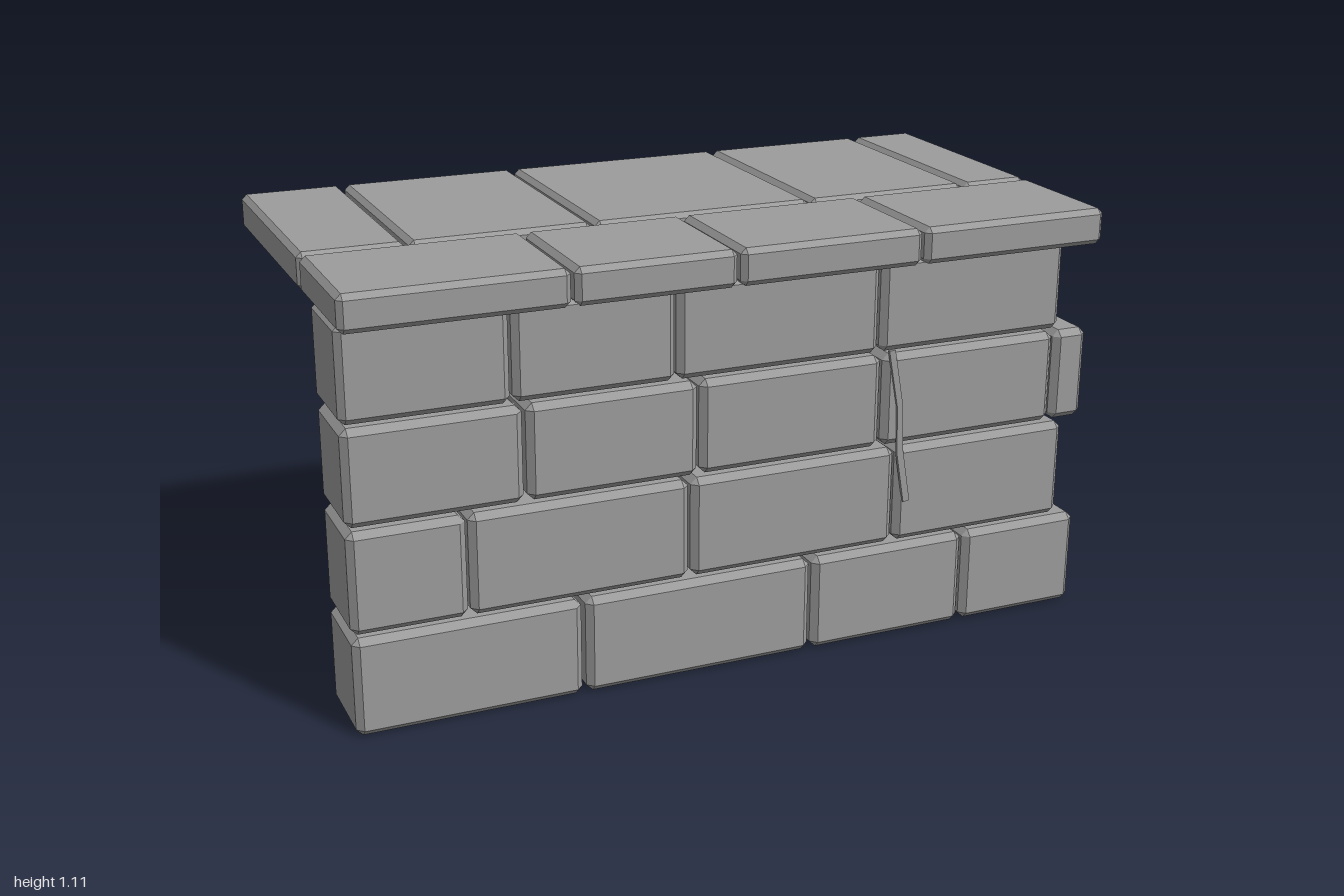
import * as THREE from 'three';
import { ConvexGeometry } from 'three/addons/geometries/ConvexGeometry.js';

// Box between two corners with every edge bevelled by c
function chamferedBox(x0, x1, y0, y1, z0, z1, c) {
  const half = [(x1 - x0) / 2, (y1 - y0) / 2, (z1 - z0) / 2];
  const points = [];
  for (const sx of [-1, 1]) for (const sy of [-1, 1]) for (const sz of [-1, 1]) {
    for (let axis = 0; axis < 3; axis++) {
      const p = [sx, sy, sz].map((s, i) => s * (half[i] - (i === axis ? 0 : c)));
      points.push(new THREE.Vector3(...p));
    }
  }
  return new ConvexGeometry(points);
}

export function createModel() {
  const stone = new THREE.MeshStandardMaterial({ color: 0x9c9c9c, flatShading: true });
  stone.name = 'grey stone';
  const model = new THREE.Group();
  model.name = 'stoneWallWithLedge';

  // A row of blocks; spans hold the x limits of each block
  function addRow(name, y0, y1, z0, z1, c, spans) {
    const row = new THREE.Group();
    row.name = name;
    spans.forEach(([x0, x1], i) => {
      const block = new THREE.Mesh(chamferedBox(x0, x1, y0, y1, z0, z1, c), stone);
      block.name = `${name}Block${i + 1}`;
      block.position.set((x0 + x1) / 2, (y0 + y1) / 2, (z0 + z1) / 2);
      row.add(block);
    });
    model.add(row);
  }

  // Wall courses, bottom to top
  addRow('firstCourse', 0, 0.257, 0.245, 0.476, 0.017,
    [[-1, -0.423], [-0.412, 0.202], [0.21, 0.65], [0.657, 1]]);
  addRow('secondCourse', 0.265, 0.528, 0.247, 0.474, 0.017,
    [[-1, -0.711], [-0.705, -0.137], [-0.13, 0.437], [0.443, 0.943]]);
  addRow('thirdCourse', 0.537, 0.782, 0.247, 0.473, 0.017,
    [[-1, -0.563], [-0.554, -0.114], [-0.108, 0.39], [0.397, 0.899], [0.903, 1]]);
  addRow('fourthCourse', 0.79, 1.03, 0.242, 0.471, 0.016,
    [[-1, -0.591], [-0.584, -0.173], [-0.168, 0.379], [0.386, 0.913]]);

  // Coping along the wall and the floor slabs behind it
  addRow('coping', 1.018, 1.112, 0.146, 0.512, 0.014,
    [[-1, -0.45], [-0.441, -0.029], [-0.02, 0.472], [0.48, 1]]);
  addRow('floorSlabs', 1.018, 1.112, -0.51, 0.135, 0.013,
    [[-1, -0.736], [-0.725, -0.257], [-0.246, 0.346], [0.355, 0.805], [0.815, 1]]);

  // Thin crooked crack on the front face
  const outline = [[0.405, 0.795], [0.434, 0.64], [0.438, 0.515], [0.462, 0.377],
    [0.48, 0.38], [0.456, 0.52], [0.45, 0.645], [0.422, 0.797]];
  const shape = new THREE.Shape(outline.map(([x, y]) => new THREE.Vector2(x, y)));
  const crack = new THREE.Mesh(
    new THREE.ExtrudeGeometry(shape, { depth: 0.009, bevelEnabled: false }), stone);
  crack.name = 'crack';
  crack.position.z = 0.471;
  model.add(crack);

  return model;
}
